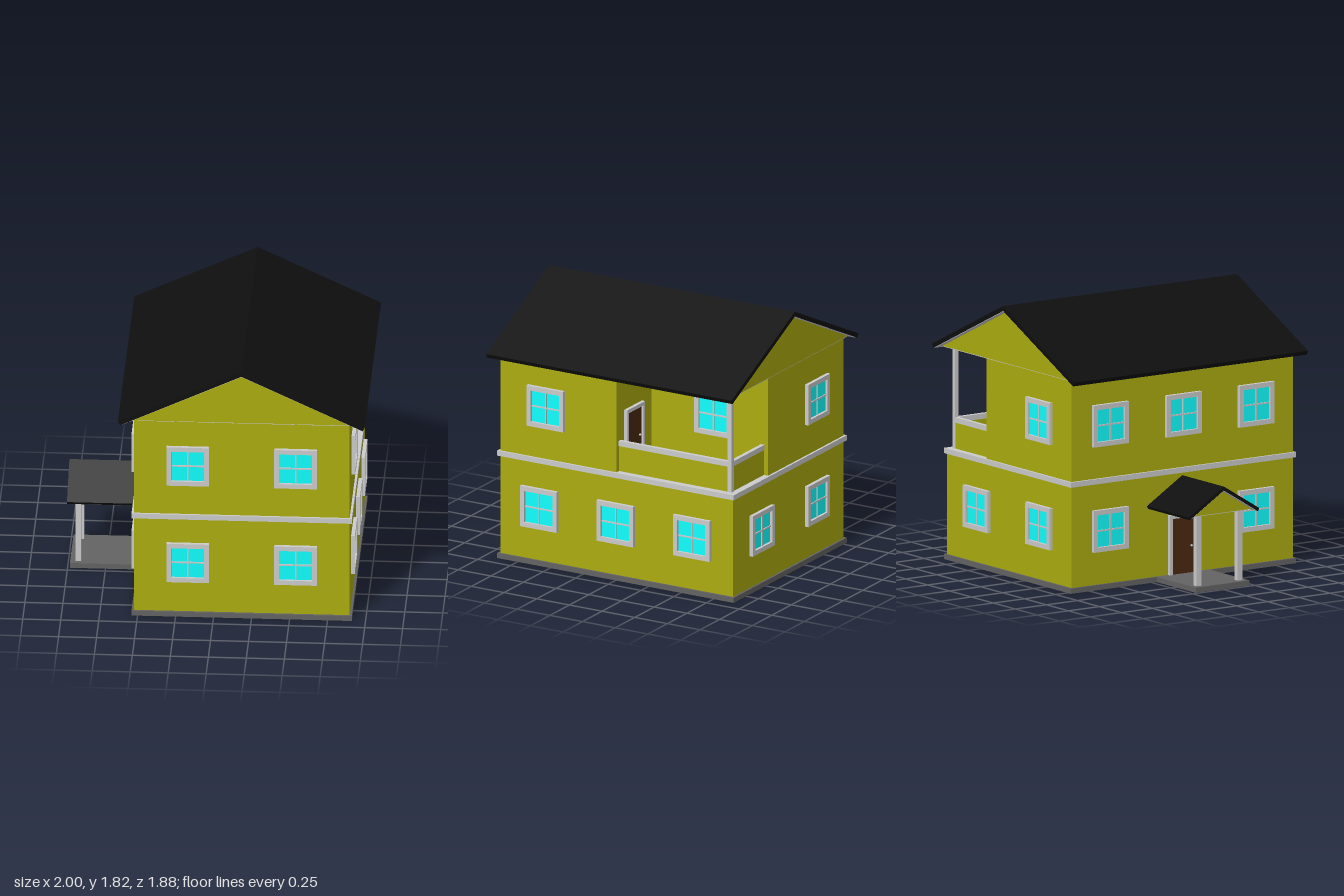
import * as THREE from 'three';

const mat = (color) => new THREE.MeshStandardMaterial({ color });
const GREY = mat(0xcccccc), WALL = mat(0xacac10), ROOF = mat(0x0e0e0e);
const BASE = mat(0x636363), GLASS = mat(0x10ffff), WOOD = mat(0x4a2810);

const CX = 0.185;                       // centre line of the house
const LEFT = 0.895, RIGHT = -0.525;     // side walls
const DEPTH = 0.89;                     // half depth of the walls
const RECESS = 0.446;                   // inner wall of the balcony

function add(parent, name, geometry, material) {
  const mesh = new THREE.Mesh(geometry, material);
  mesh.name = name;
  parent.add(mesh);
  return mesh;
}

// Box given by its min and max on each axis
function box(parent, name, material, x0, x1, y0, y1, z0, z1) {
  const mesh = add(parent, name, new THREE.BoxGeometry(x1 - x0, y1 - y0, z1 - z0), material);
  mesh.position.set((x0 + x1) / 2, (y0 + y1) / 2, (z0 + z1) / 2);
  return mesh;
}

const polygon = (points) => new THREE.Shape(points.map(([x, y]) => new THREE.Vector2(x, y)));
const extrude = (shape, depth) => new THREE.ExtrudeGeometry(shape, { depth, bevelEnabled: false });

function group(parent, name, x, y, z, turn) {
  const g = new THREE.Group();
  g.name = name;
  g.position.set(x, y, z);
  g.rotation.y = turn;
  parent.add(g);
  return g;
}

// Square four-pane window facing local +z, centred on its origin
function addWindow(parent, x, y, z, turn) {
  const g = group(parent, 'window', x, y, z, turn);
  const r = 0.14, i = 0.108;
  const frame = polygon([[-r, -r], [r, -r], [r, r], [-r, r]]);
  frame.holes.push(new THREE.Path([[-i, -i], [-i, i], [i, i], [i, -i]].map(([a, b]) => new THREE.Vector2(a, b))));
  add(g, 'windowFrame', extrude(frame, 0.025), GREY);
  box(g, 'glass', GLASS, -i, i, -i, i, 0, 0.007);
  box(g, 'verticalBar', GREY, -0.005, 0.005, -i, i, 0, 0.014);
  box(g, 'horizontalBar', GREY, -i, i, -0.005, 0.005, 0, 0.014);
}

// Framed door facing local +z, standing on its origin
function addDoor(parent, x, y, z, turn) {
  const g = group(parent, 'door', x, y, z, turn);
  const w = 0.115, h = 0.4, b = 0.025;
  add(g, 'doorFrame', extrude(polygon([
    [-w, 0], [-w + b, 0], [-w + b, h - b], [w - b, h - b], [w - b, 0], [w, 0], [w, h], [-w, h],
  ]), 0.025), GREY);
  box(g, 'doorLeaf', WOOD, -w + b, w - b, 0, h - b, 0, 0.012);
  const knob = add(g, 'doorKnob', new THREE.SphereGeometry(0.008, 12, 8), GREY);
  knob.position.set(0.065, 0.18, 0.016);
}

// Gable roof with its ridge along local z: covering, lining, gable and flat soffit
function addRoof(parent, name, x, z, turn, o) {
  const g = group(parent, name, x, 0, z, turn);
  const slope = (o.ridge - o.eave) / o.half, a = Math.atan(slope);
  const chevron = (half, eave, ridge, t) => {
    const dx = t * Math.sin(a), dy = t * Math.cos(a);
    return polygon([
      [half, eave], [0, ridge], [-half, eave],
      [-half + dx, eave - dy], [0, ridge - t / Math.cos(a)], [half - dx, eave - dy],
    ]);
  };
  add(g, 'roofCovering', extrude(chevron(o.half, o.eave, o.ridge, o.thick), o.z1 - o.z0), ROOF).position.z = o.z0;
  // Grey lining just under the covering
  const under = o.ridge - o.thick / Math.cos(a), lh = o.half - 0.025;
  add(g, 'roofLining', extrude(chevron(lh, under - slope * lh, under, 0.003), o.z1 - o.z0 - 0.006), GREY).position.z = o.z0 + 0.003;
  const top = under - 0.003, w = (top - o.base) / slope;
  add(g, 'gable', extrude(polygon([[-w, o.base], [w, o.base], [0, top]]), o.g1 - o.g0), WALL).position.z = o.g0;
  box(g, 'soffit', GREY, -w, w, o.base - 0.004, o.base, o.g0, o.g1);
}

export function createModel() {
  const house = new THREE.Group();
  house.name = 'house';

  // Foundation and storeys
  box(house, 'foundation', BASE, -0.54, 0.91, 0, 0.035, -0.905, 0.905);
  box(house, 'groundFloorWalls', WALL, RIGHT, LEFT, 0.035, 0.71, -DEPTH, DEPTH);
  box(house, 'floorBand', GREY, -0.54, 0.91, 0.71, 0.745, -0.905, 0.905);
  const plan = polygon([
    [RIGHT, -DEPTH], [LEFT, -DEPTH], [LEFT, 0], [RECESS, 0], [RECESS, DEPTH], [RIGHT, DEPTH],
  ]);
  const upper = add(house, 'upperFloorWalls', extrude(plan, 0.672), WALL);
  upper.rotation.x = -Math.PI / 2;
  upper.position.y = 0.745;

  // Main roof
  addRoof(house, 'mainRoof', CX, 0, 0, {
    half: 0.812, eave: 1.432, ridge: 1.815, thick: 0.03, base: 1.42,
    z0: -0.94, z1: 0.94, g0: -DEPTH, g1: DEPTH,
  });

  // Balcony: corner post, parapets and rails
  const bx = 0.855, bz = -0.85;
  const balcony = group(house, 'balcony', 0, 0, 0, 0);
  box(balcony, 'balconyPost', GREY, bx - 0.015, bx + 0.015, 0.745, 1.418, bz - 0.015, bz + 0.015);
  box(balcony, 'sideParapet', WALL, bx - 0.008, bx + 0.008, 0.745, 0.92, bz, 0);
  box(balcony, 'backParapet', WALL, RECESS, bx, 0.745, 0.92, bz - 0.008, bz + 0.008);
  box(balcony, 'sideRail', GREY, bx - 0.014, bx + 0.014, 0.92, 0.955, bz, 0);
  box(balcony, 'backRail', GREY, RECESS, bx, 0.92, 0.955, bz - 0.014, bz + 0.014);
  addDoor(balcony, 0.685, 0.75, 0, Math.PI);

  // Windows
  const LOW = 0.395, HIGH = 1.1, Q = Math.PI / 2;
  for (const y of [LOW, HIGH]) {
    for (const x of [-0.17, 0.54]) {
      addWindow(house, x, y, DEPTH, 0);
      if (y === LOW || x < 0) addWindow(house, x, y, -DEPTH, Math.PI);
    }
    for (const z of [-0.585, 0, 0.585]) {
      if (y === LOW) addWindow(house, LEFT, y, z, Q);
      if (y === HIGH || z !== 0) addWindow(house, RIGHT, y, z, -Q);
    }
  }
  addWindow(house, LEFT, HIGH, 0.535, Q);
  addWindow(house, RECESS, HIGH, -0.48, Q);

  // Porch on the right side
  const porch = group(house, 'porch', 0, 0, 0, 0);
  box(porch, 'porchFloor', BASE, -0.985, -0.54, 0, 0.035, -0.215, 0.215);
  for (const s of [-1, 1]) {
    box(porch, 'porchPost', GREY, -0.95, -0.912, 0.035, 0.505, s * 0.165 - 0.019, s * 0.165 + 0.019);
  }
  addDoor(porch, RIGHT, 0.035, 0, -Q);
  addRoof(porch, 'porchRoof', RIGHT, 0, -Q, {
    half: 0.285, eave: 0.514, ridge: 0.69, thick: 0.022, base: 0.506,
    z0: 0, z1: 0.475, g0: 0, g1: 0.43,
  });

  return house;
}
